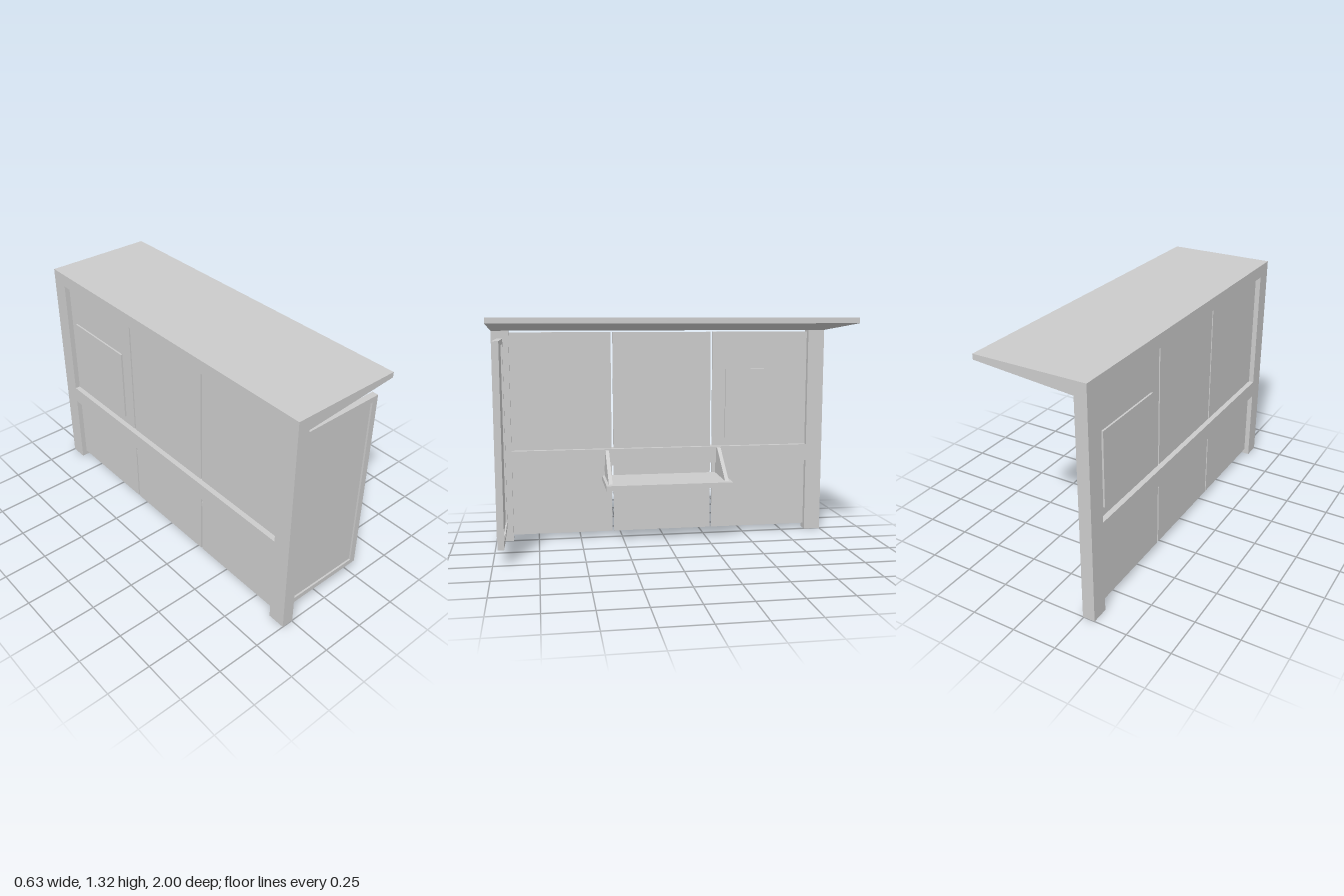
import * as THREE from 'three';

const material = new THREE.MeshStandardMaterial({ color: 0xcccccc, flatShading: true });

export function createModel() {
  const model = new THREE.Group();
  model.name = 'shelter';

  // Box given by its extents along each axis
  function box(name, [x0, x1], [y0, y1], [z0, z1]) {
    const mesh = new THREE.Mesh(new THREE.BoxGeometry(x1 - x0, y1 - y0, z1 - z0), material);
    mesh.position.set((x0 + x1) / 2, (y0 + y1) / 2, (z0 + z1) / 2);
    mesh.name = name;
    model.add(mesh);
  }

  // Outline in x and y, extruded along z from z0 to z1
  function slab(name, points, [z0, z1], hole) {
    const toVectors = (list) => list.map(([x, y]) => new THREE.Vector2(x, y));
    const shape = new THREE.Shape(toVectors(points));
    if (hole) shape.holes.push(new THREE.Path(toVectors(hole)));
    const geometry = new THREE.ExtrudeGeometry(shape, { depth: z1 - z0, bevelEnabled: false });
    const mesh = new THREE.Mesh(geometry, material);
    mesh.position.z = z0;
    mesh.name = name;
    model.add(mesh);
  }

  const rect = (x0, x1, y0, y1) => [[x0, y0], [x1, y0], [x1, y1], [x0, y1]];

  // Back frame: two posts and a middle rail
  const frameX = [-0.315, -0.245];
  box('leftPost', frameX, [0, 1.245], [0.9, 1]);
  box('rightPost', frameX, [0, 1.245], [-1, -0.9]);
  box('middleRail', frameX, [0.44, 0.54], [-0.9, 0.9]);

  // Tapered cantilever roof
  slab('roof', [[-0.315, 1.245], [-0.245, 1.245], [0.315, 1.29], [0.315, 1.32], [-0.315, 1.32]], [-1, 1]);

  // Three thin back panels with narrow gaps
  for (const [z0, z1] of [[-0.9, -0.308], [-0.297, 0.297], [0.308, 0.9]]) {
    box('backPanel', [-0.285, -0.275], [0.03, 1.235], [z0, z1]);
  }

  // Notice board on the back wall
  box('noticeBoard', [-0.295, -0.262], [0.59, 1.01], [-0.85, -0.388]);

  // Side display: frame with a recessed face on both sides
  slab('displayFrame', rect(-0.26, 0.26, 0.09, 1.2), [0.935, 0.97], rect(-0.225, 0.225, 0.12, 1.17));
  box('displayFace', [-0.225, 0.225], [0.12, 1.17], [0.945, 0.96]);

  // Bench seat hung from two gusset brackets
  box('seat', [-0.28, 0.05], [0.345, 0.375], [-0.367, 0.367]);
  for (const z of [-0.34, 0.34]) {
    slab('seatBracket', [[-0.28, 0.375], [0.007, 0.375], [-0.215, 0.535], [-0.28, 0.535]], [z - 0.011, z + 0.011]);
  }

  return model;
}
